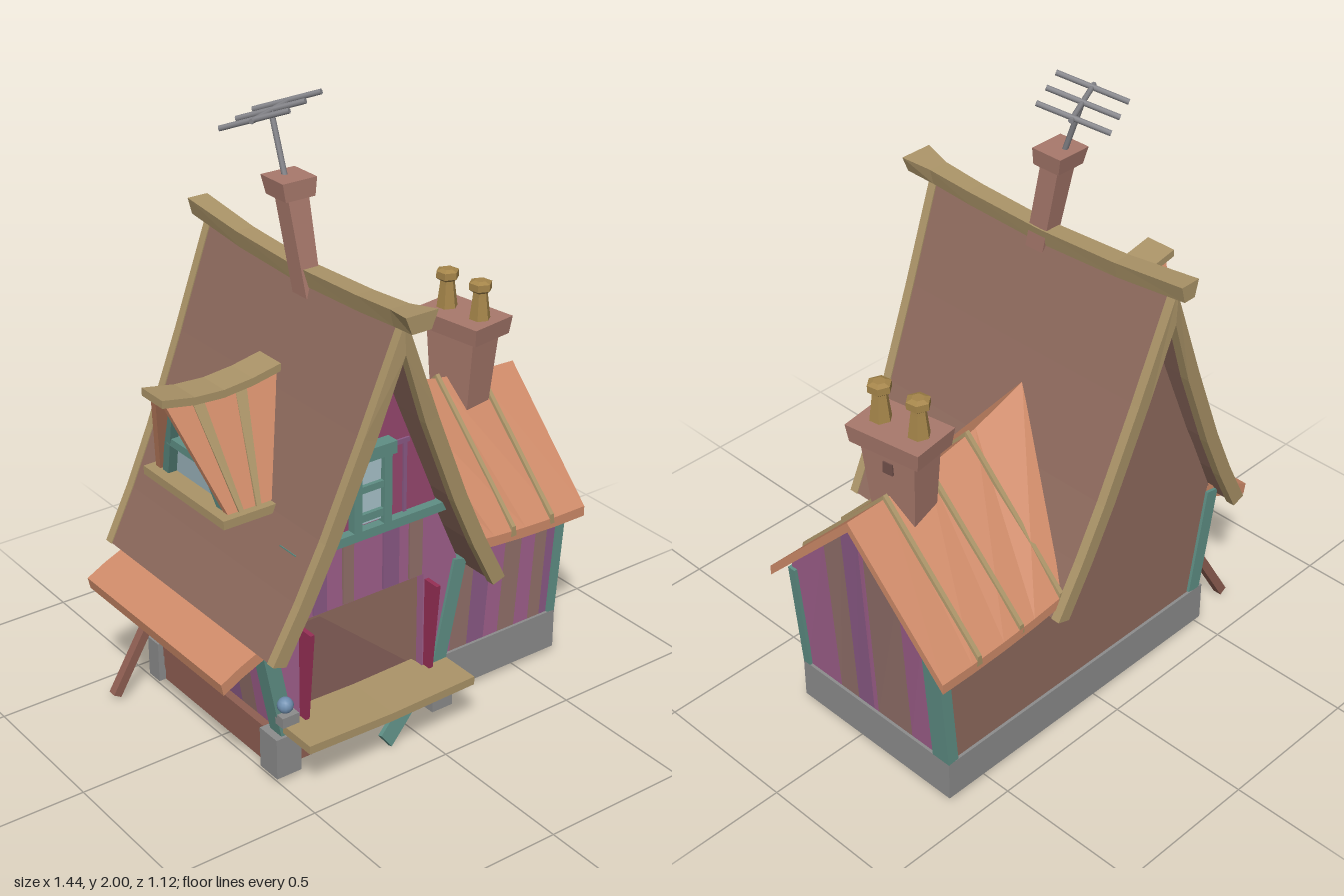
import * as THREE from 'three';

const C = {
  roof: 0x8f6b5e, tile: 0xcf8b69, tan: 0xab9468, teal: 0x5f8f85, grey: 0x8c8c8c, plank: 0x8f5f52,
  pink: 0xa0608c, purple: 0x8b5a86, earth: 0x92706a, rose: 0x98486f, red: 0x962f55, brick: 0xa8796c,
  dark: 0x70504a, glass: 0xa9c4cc, metal: 0x85858a, brass: 0xa5854a,
};
const RX = -0.17; // x of the main ridge

export function createModel() {
  const root = new THREE.Group();

  const add = (name, color, geo, parent = root, flat = true) => {
    const mat = new THREE.MeshStandardMaterial({ color, flatShading: flat, side: THREE.DoubleSide });
    const m = new THREE.Mesh(geo, mat);
    m.name = name;
    parent.add(m);
    return m;
  };
  // Solid skin through matching rings of points, capped at both ends
  const loft = (name, color, rings, parent) => {
    const n = rings[0].length, idx = [], p = rings.flat();
    for (let r = 0; r < rings.length - 1; r++)
      for (let i = 0; i < n; i++) {
        const a = r * n + i, b = r * n + (i + 1) % n;
        idx.push(a, b, b + n, a, b + n, a + n);
      }
    const e = (rings.length - 1) * n;
    for (let i = 1; i < n - 1; i++) idx.push(0, i + 1, i, e, e + i, e + i + 1);
    let vol = 0;
    const v = p.map(q => new THREE.Vector3(...q)), t = new THREE.Vector3();
    for (let i = 0; i < idx.length; i += 3) vol += v[idx[i]].dot(t.crossVectors(v[idx[i + 1]], v[idx[i + 2]]));
    if (vol < 0) idx.reverse();
    const g = new THREE.BufferGeometry().setFromPoints(v);
    g.setIndex(idx);
    const flat = g.toNonIndexed();
    flat.computeVertexNormals();
    return add(name, color, flat, parent);
  };
  const prism = (name, color, pts, d, parent) =>
    loft(name, color, [pts, pts.map(p => p.map((c, i) => c + d[i]))], parent);
  const box = (name, color, x0, x1, y0, y1, z0, z1, parent) => {
    const m = add(name, color, new THREE.BoxGeometry(x1 - x0, y1 - y0, z1 - z0), parent);
    m.position.set((x0 + x1) / 2, (y0 + y1) / 2, (z0 + z1) / 2);
    return m;
  };
  const aim = (m, a, b) => {
    const A = new THREE.Vector3(...a), B = new THREE.Vector3(...b);
    m.position.copy(A).add(B).multiplyScalar(0.5);
    m.quaternion.setFromUnitVectors(new THREE.Vector3(0, 1, 0), B.sub(A).normalize());
  };
  const dist = (a, b) => Math.hypot(...a.map((c, i) => c - b[i]));
  const beam = (name, color, a, b, w, d) => aim(add(name, color, new THREE.BoxGeometry(w, dist(a, b), d)), a, b);
  const rod = (name, a, b, r) => aim(add(name, C.metal, new THREE.CylinderGeometry(r, r, dist(a, b), 8), root, false), a, b);
  // Flat wall cut into vertical coloured boards at the given breaks
  const boards = (name, breaks, bottom, top, d) => {
    const cols = [C.pink, C.earth, C.purple, C.pink, C.earth];
    for (let i = 0; i < breaks.length - 1; i++) {
      const a = breaks[i], b = breaks[i + 1];
      prism(name, cols[i % 5], [bottom(a), bottom(b), top(b), top(a)], d);
    }
  };
  const sheet = (name, color, pts, z, depth, hole) => {
    const s = new THREE.Shape(pts.map(p => new THREE.Vector2(...p)));
    if (hole) s.holes.push(new THREE.Path(hole.map(p => new THREE.Vector2(...p))));
    add(name, color, new THREE.ExtrudeGeometry(s, { depth, bevelEnabled: false })).position.z = z;
  };

  // Foundation
  box('foundationBack', C.grey, -0.51, 0.66, 0.01, 0.15, -0.41, -0.35);
  box('foundationEnd', C.grey, 0.6, 0.66, 0.01, 0.15, -0.35, 0.25);
  box('foundationWingFront', C.grey, 0.15, 0.6, 0.01, 0.15, 0.19, 0.25);
  box('foundationBlock', C.grey, -0.51, -0.42, 0.01, 0.15, 0.23, 0.32);
  box('foundationBlock', C.grey, 0.09, 0.17, 0.01, 0.15, 0.23, 0.32);
  for (let i = 0; i < 3; i++) {
    const y = 0.01 + i * 0.045;
    box('frontPlank', C.plank, -0.42, 0.09, y, y + 0.042, 0.25 + i * 0.004, 0.275 + i * 0.004);
    box('sidePlank', C.plank, -0.485 - i * 0.003, -0.46, y, y + 0.042, -0.35, 0.23);
  }

  // Main walls
  sheet('backWall', C.roof, [[-0.47, 0.15], [0.65, 0.15], [0.68, 0.58], [0.18, 0.58], [0.06, 0.84], [RX, 1.44], [-0.4, 0.84], [-0.53, 0.54]], -0.4, 0.03);
  sheet('frontWall', C.pink, [[-0.46, 0.15], [0.12, 0.15], [0.19, 0.54], [0.08, 0.79], [-0.42, 0.79], [-0.53, 0.54]], 0.27, 0.03,
    [[-0.4, 0.18], [-0.4, 0.52], [0.06, 0.52], [0.06, 0.18]]);
  sheet('gableWall', C.rose, [[-0.42, 0.78], [0.08, 0.78], [RX, 1.44]], 0.3, 0.03);
  [[-0.36, 0.05], [-0.25, 0.04], [-0.1, 0.06], [0.0, 0.05]].forEach(([x, w], i) =>
    box('wallBoard', i % 2 ? C.earth : C.purple, x, x + w, 0.525, 0.765, 0.295, 0.306));
  for (const s of [-1, 1]) box('gableBatten', C.purple, RX + s * 0.125 - 0.006, RX + s * 0.125 + 0.006, 0.79, 1.03, 0.325, 0.337);
  box('gableRail', C.purple, -0.31, -0.03, 1.02, 1.035, 0.325, 0.337);
  boards('sideWall', [0.27, 0.16, 0.08, -0.04, -0.12, -0.22, -0.3, -0.4], z => [-0.47, 0.15, z], z => [-0.53, 0.54, z], [0.02, 0, 0]);
  boards('innerSideWall', [0.27, 0.18], z => [0.12, 0.15, z], z => [0.19, 0.54, z], [-0.02, 0, 0]);

  // Room behind the opening, tapering to the back
  const room = [[-0.4, 0.06, 0.27], [-0.33, -0.01, -0.15]].map(([a, b, z]) => [[a, 0.17, z], [b, 0.17, z], [b, 0.52, z], [a, 0.52, z]]);
  for (let i = 0; i < 4; i++) {
    const j = (i + 1) % 4;
    prism('roomWall', i ? C.roof : C.dark, [room[0][i], room[0][j], room[1][j], room[1][i]], [0, 0.002, 0]);
  }
  prism('roomBack', C.roof, room[1], [0, 0, -0.005]);

  // Corner posts, beam, doors and porch
  beam('cornerPost', C.teal, [-0.46, 0.15, 0.28], [-0.535, 0.53, 0.28], 0.05, 0.06);
  beam('cornerPost', C.teal, [0.115, 0.15, 0.28], [0.2, 0.53, 0.28], 0.05, 0.06);
  beam('cornerPost', C.teal, [-0.47, 0.15, -0.385], [-0.535, 0.53, -0.385], 0.05, 0.05);
  beam('cornerPost', C.teal, [0.64, 0.15, -0.375], [0.675, 0.58, -0.375], 0.04, 0.07);
  beam('cornerPost', C.teal, [0.645, 0.15, 0.235], [0.68, 0.56, 0.235], 0.03, 0.03);
  box('gableBeam', C.teal, -0.46, 0.1, 0.76, 0.79, 0.28, 0.36);
  for (const x of [-0.41, 0.065])
    prism('openDoor', C.red, [[x, 0.19, 0.29], [x, 0.19, 0.33], [x, 0.5, 0.36], [x, 0.5, 0.29]], [0.015, 0, 0]);
  loft('porchStep', C.tan, [[-0.48, 0.162], [-0.17, 0.155], [0.15, 0.162]].map(([x, y]) =>
    [[x, y, 0.25], [x, y, 0.45], [x, y + 0.028, 0.45], [x, y + 0.028, 0.25]]));
  beam('loosePlank', C.teal, [-0.13, 0.015, 0.36], [0.05, 0.14, 0.31], 0.06, 0.015);
  beam('sideProp', C.plank, [-0.665, 0.01, -0.37], [-0.49, 0.3, -0.37], 0.03, 0.03);
  box('lampBracket', C.grey, -0.5, -0.44, 0.2, 0.235, 0.3, 0.34);
  add('lamp', 0x6f8fb0, new THREE.SphereGeometry(0.026, 12, 8), root, false).position.set(-0.48, 0.27, 0.325);

  // Framed gable window
  box('windowGlass', C.glass, -0.235, -0.125, 0.8, 1.03, 0.33, 0.342);
  for (const x of [-0.235, -0.125]) box('windowFrame', C.teal, x - 0.014, x + 0.014, 0.79, 1.03, 0.325, 0.36);
  box('windowFrame', C.teal, -0.225, -0.135, 0.91, 0.932, 0.33, 0.355);
  box('windowFrame', C.teal, -0.225, -0.135, 0.815, 0.84, 0.33, 0.355);
  box('windowHead', C.teal, -0.255, -0.105, 1.02, 1.06, 0.325, 0.375);

  // Steep main roof with verge boards
  const prof = [[0, 1.49], [0.13, 1.16], [0.255, 0.86], [0.34, 0.68], [0.43, 0.51]];
  const zf = y => 0.44 + 0.045 * (y - 0.5), zb = y => -0.475 - 0.035 * (y - 0.5);
  for (const s of [-1, 1]) {
    const slab = (f, b, out, inn) => prof.map(([x, y]) => {
      const o = RX + s * (x + out), i = RX + s * Math.max(x - inn, 0), yi = x ? y - 0.015 : y - 0.1;
      return [[o, y, f(y)], [o, y, b(y)], [i, yi, b(y)], [i, yi, f(y)]];
    });
    loft('mainRoof', C.roof, slab(zf, zb, 0, 0.03));
    loft('frontVerge', C.tan, slab(y => zf(y) + 0.006, y => zf(y) - 0.025, 0.004, 0.042));
    loft('backVerge', C.tan, slab(y => zb(y) + 0.025, y => zb(y) - 0.006, 0.004, 0.042));
  }
  loft('ridgeBeam', C.tan, [[-0.56, 0.036, 1.515], [-0.3, 0.032, 1.485], [0, 0.03, 1.47], [0.3, 0.032, 1.48], [0.46, 0.035, 1.492], [0.56, 0.057, 1.505]].map(([z, w, y]) =>
    [[RX - w * 0.6, y - 0.02, z], [RX + w * 0.6, y - 0.02, z], [RX + w, y + 0.035, z], [RX - w, y + 0.035, z]]));

  // Wing walls
  boards('wingFrontWall', [0, 0.14, 0.28, 0.42, 0.54, 0.68, 0.8, 0.9, 1], u => [0.15 + u * 0.5, 0.15, 0.24], u => [0.19 + u * 0.49, 0.6, 0.24], [0, 0, -0.02]);
  boards('wingEndWall', [0.24, 0.08, 0.0, -0.07, -0.09, -0.24, -0.34, -0.4], z => [0.65, 0.15, z], z => [0.69, 0.9 - Math.abs(z + 0.07) * 0.95, z], [-0.02, 0, 0]);

  // Wing roof: sagging ridge, ribs across both slopes
  const ridge = [[0, 1.06], [0.2, 0.99], [0.4, 0.95], [0.56, 0.93], [0.72, 0.925]];
  const eave = [[0.22, 0.575], [0.34, 0.56], [0.47, 0.55], [0.6, 0.545], [0.72, 0.545]];
  const yAt = (line, x) => {
    const i = Math.max(1, line.findIndex(p => p[0] >= x)), [a, b] = [line[i - 1], line[i]];
    return a[1] + (b[1] - a[1]) * (x - a[0]) / (b[0] - a[0]);
  };
  for (const z of [0.305, -0.455]) {
    const t = 0.035;
    loft('wingRoof', C.tile, ridge.map(([x, y], i) => {
      const [ex, ey] = eave[i];
      return [[x, y, -0.07], [ex, ey, z], [ex, ey - t, z], [x, y - t, -0.07]];
    }));
    for (const [xb, xf] of [[0.225, 0.255], [0.395, 0.42], [0.57, 0.58]]) {
      const xe = z > 0 ? xf : xb, xr = (xb + xf) / 2 - 0.005, w = 0.012;
      const sec = (x, y, zz) => [[x - w, y - 0.02, zz], [x + w, y - 0.02, zz], [x + w * 0.6, y + 0.015, zz], [x - w * 0.6, y + 0.015, zz]];
      loft('roofRib', C.tan, [sec(xr, yAt(ridge, xr), -0.07), sec(xe, yAt(eave, xe), z)]);
    }
  }

  // Square tapered stack ring
  const ring = (x, y, z, hx, hz) => [[x - hx, y, z - hz], [x + hx, y, z - hz], [x + hx, y, z + hz], [x - hx, y, z + hz]];

  // Wing chimney with two pots
  const stack = new THREE.Group();
  stack.name = 'wingChimney';
  stack.position.set(0.503, 0, -0.07);
  stack.rotation.y = 0.15;
  root.add(stack);
  loft('chimneyStack', C.brick, [ring(-0.01, 0.8, 0, 0.05, 0.075), ring(0, 1.1, 0, 0.062, 0.1)], stack);
  loft('chimneyCap', C.brick, [ring(0, 1.095, 0, 0.08, 0.125), ring(0, 1.155, 0, 0.087, 0.133)], stack);
  box('chimneyVent', C.dark, 0.05, 0.063, 1.02, 1.06, -0.018, 0.018, stack);
  const pot = [[0, 1.15], [0.036, 1.15], [0.025, 1.235], [0.024, 1.245], [0.038, 1.255], [0.038, 1.278], [0.02, 1.285], [0, 1.285]].map(p => new THREE.Vector2(...p));
  for (const z of [-0.07, 0.07]) add('chimneyPot', C.brass, new THREE.LatheGeometry(pot, 6), stack).position.z = z;

  // Leaning main chimney and aerial
  loft('mainChimney', C.brick, [ring(-0.172, 1.42, 0.025, 0.028, 0.035), ring(-0.188, 1.73, -0.03, 0.037, 0.035)]);
  loft('mainChimneyCap', C.brick, [ring(-0.192, 1.715, -0.025, 0.052, 0.05), ring(-0.193, 1.772, -0.032, 0.06, 0.056)]);
  rod('aerialMast', [-0.197, 1.75, -0.04], [-0.197, 1.945, -0.11], 0.009);
  rod('aerialBoom', [-0.3, 1.945, -0.06], [-0.09, 1.945, -0.165], 0.008);
  for (const [x, z] of [[-0.283, -0.07], [-0.195, -0.115], [-0.107, -0.16]])
    rod('aerialElement', [x - 0.06, 1.908, z - 0.088], [x + 0.06, 1.983, z + 0.088], 0.009);

  // Dormer on the right-hand slope
  const DZ = -0.015;
  loft('dormerRidge', C.tan, [[-0.69, 1.2], [-0.58, 1.18], [-0.48, 1.175], [-0.38, 1.185], [-0.28, 1.205]].map(([x, y]) =>
    [[x, y, DZ - 0.055], [x, y, DZ + 0.055], [x, y + 0.025, DZ + 0.055], [x, y + 0.025, DZ - 0.055]]));
  for (const s of [-1, 1]) {
    const top = u => [-0.67 + u * 0.39, 1.195 - 0.06 * u * (1 - u), DZ + s * 0.04];
    const low = u => [-0.57 + u * 0.16, 0.88, DZ + s * 0.195];
    const cut = (a, b, d) => [top(a), top(b), low(b), low(a)].map(p => [p[0], p[1], p[2] + s * d]);
    loft('dormerRoof', C.tile, [cut(0, 1, 0), cut(0, 1, -0.025)]);
    for (const u of [0.22, 0.6]) loft('dormerRib', C.tan, [cut(u, u + 0.1, 0.008), cut(u, u + 0.1, -0.01)]);
    beam('dormerFrame', C.teal, [-0.55, 0.87, DZ + s * 0.15], [-0.6, 1.17, DZ + s * 0.03], 0.03, 0.03);
  }
  prism('dormerGlass', C.glass, [[-0.535, 0.87, DZ - 0.16], [-0.535, 0.87, DZ + 0.16], [-0.585, 1.17, DZ + 0.03], [-0.585, 1.17, DZ - 0.03]], [0.015, 0, 0]);
  beam('dormerFrame', C.teal, [-0.575, 1.01, DZ - 0.1], [-0.575, 1.01, DZ + 0.1], 0.025, 0.025);
  box('dormerSill', C.tan, -0.6, -0.4, 0.85, 0.878, DZ - 0.218, DZ + 0.218);

  // Curved side awning
  loft('sideAwning', C.tile, [[-0.715, 0.43], [-0.65, 0.465], [-0.58, 0.495], [-0.51, 0.535]].map(([x, y]) =>
    [[x, y - 0.018, -0.4], [x, y - 0.018, 0.355], [x - 0.008, y + 0.02, 0.355], [x - 0.008, y + 0.02, -0.4]]));

  return root;
}
